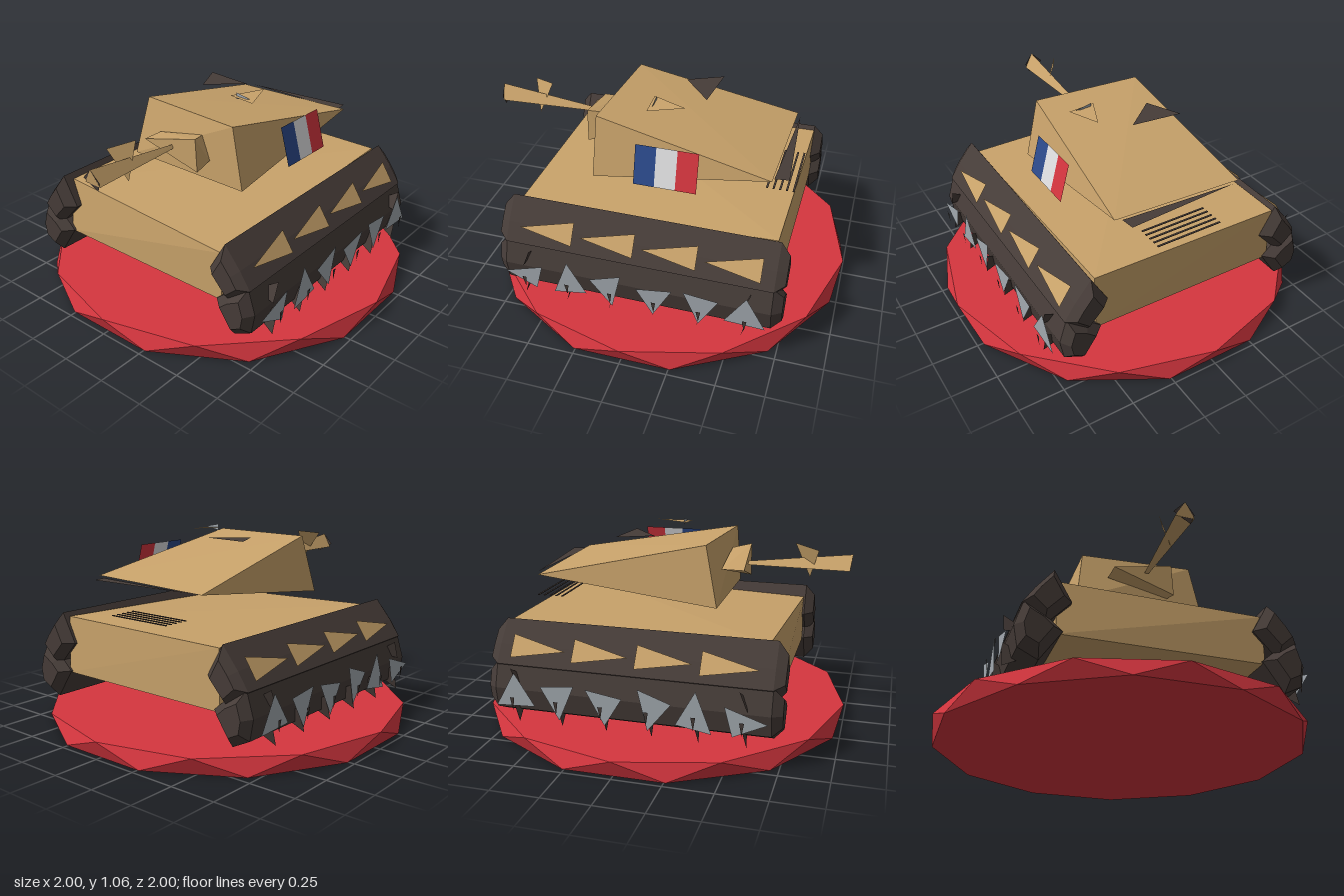
import * as THREE from 'three';
import { ConvexGeometry } from 'three/addons/geometries/ConvexGeometry.js';

const mat = (name, color) => {
  const m = new THREE.MeshStandardMaterial({ color, side: THREE.DoubleSide });
  m.name = name;
  return m;
};

export function createModel() {
  const tan = mat('sandPaint', 0xc8a26a);
  const red = mat('red', 0xd6363f);
  const dark = mat('darkTrack', 0x463c38);
  const grey = mat('wheelGrey', 0xa2a9af);
  const blue = mat('blue', 0x2c4a8c);
  const white = mat('white', 0xe0e0e2);

  const model = new THREE.Group();
  model.name = 'tank';
  const add = (name, geometry, material, parent = model) => {
    const mesh = new THREE.Mesh(geometry, material);
    mesh.name = name;
    parent.add(mesh);
    return mesh;
  };
  // faceted solid around a few corners
  const solid = (name, points, material, parent) =>
    add(name, new ConvexGeometry(points.map(p => new THREE.Vector3(...p))), material, parent);
  // flat plate of three or four corners
  const plate = (name, corners, material, parent) => {
    const g = new THREE.BufferGeometry();
    const list = corners.length === 4 ? [0, 1, 2, 0, 2, 3] : [0, 1, 2];
    g.setAttribute('position', new THREE.Float32BufferAttribute(list.flatMap(i => corners[i]), 3));
    g.computeVertexNormals();
    return add(name, g, material, parent);
  };

  // round base: two rings turned against each other
  const ring = [];
  for (let i = 0; i < 24; i++) {
    const a = i * Math.PI / 12;
    ring.push([Math.cos(a), i % 2 ? 0 : 0.09, Math.sin(a)]);
  }
  solid('base', ring, red);

  // hull
  solid('hull', [
    [-0.54, 0.59, -0.71], [0.53, 0.59, -0.69], [0.53, 0.545, 0.70], [-0.54, 0.58, 0.66],
    [-0.54, 0.28, -0.71], [0.53, 0.28, -0.70], [0.53, 0.28, 0.70], [-0.54, 0.28, 0.70],
  ], tan);

  // wedge turret
  solid('turret', [
    [-0.31, 1.0, 0.285], [0.30, 1.0, 0.33], [-0.355, 0.685, 0.355], [0.37, 0.67, 0.34],
    [-0.36, 0.80, -0.625], [0.37, 0.82, -0.61],
  ], tan);
  solid('mantlet', [
    [-0.18, 0.85, 0.46], [0.15, 0.93, 0.44], [0.16, 0.75, 0.44],
    [-0.18, 0.85, 0.34], [0.11, 0.91, 0.34], [0.16, 0.78, 0.34],
  ], tan);

  // gun
  solid('barrel', [
    [0, 0.86, 0.42], [-0.012, 0.845, 0.46], [0.012, 0.845, 0.46],
    [-0.05, 0.85, 0.99], [0.05, 0.85, 0.99], [0.0, 0.93, 1.0],
  ], tan);
  plate('muzzleFin', [[-0.07, 0.955, 0.83], [0, 0.975, 0.70], [0.02, 0.79, 0.78]], tan);
  plate('muzzle', [[-0.06, 0.87, 0.992], [0.0, 0.93, 1.0], [0.05, 0.87, 0.992], [0.03, 0.82, 0.985]], dark);

  // roof and rear details
  plate('hatch', [[-0.28, 1.01, -0.21], [0, 1.01, -0.18], [-0.19, 1.01, -0.02]], dark);
  plate('periscopeCover', [[0.165, 1.04, -0.11], [0.085, 1.04, 0.08], [0.23, 1.03, 0.08]], tan);
  plate('periscope', [[0.11, 1.057, 0.06], [0.20, 1.04, 0.06], [0.11, 1.022, 0.06]], grey);
  plate('rearRack', [[-0.31, 0.805, -0.645], [0.32, 0.81, -0.69], [0.33, 0.81, -0.615]], dark);
  for (let i = 0; i < 5; i++) {
    const slat = add('engineSlat', new THREE.BoxGeometry(0.38, 0.004, 0.01), dark);
    slat.position.set(-0.01, 0.643, -0.56 - i * 0.035);
  }

  // three-colour side panel, leaning in at the top
  [blue, white, red].forEach((m, i) => {
    const z = 0.08 - i * 0.11;
    plate('sidePanelStripe',
      [[0.47, 0.74, z], [0.47, 0.74, z - 0.11], [0.415, 0.945, z - 0.11], [0.415, 0.945, z]], m);
  });

  // tracks: cross-sections with tapered ends
  const upper = [[0.56, 0.61], [0.65, 0.5], [0.71, 0.41], [0.60, 0.31], [0.47, 0.45]];
  const lower = [[0.59, 0.36], [0.70, 0.42], [0.74, 0.29], [0.72, 0.18], [0.62, 0.13], [0.51, 0.29]];
  const gem = section => {
    const cx = section.reduce((s, p) => s + p[0], 0) / section.length;
    const cy = section.reduce((s, p) => s + p[1], 0) / section.length;
    const pts = [];
    for (const [z, k] of [[-0.76, 0.6], [-0.71, 1], [0.71, 1], [0.76, 0.6]])
      for (const [x, y] of section) pts.push([cx + (x - cx) * k, cy + (y - cy) * k, z]);
    return pts;
  };
  // wheel triangles as [z, y] corners
  const wheels = [
    [[0.70, 0.26], [0.49, 0.33], [0.53, 0.18]],
    [[0.35, 0.39], [0.43, 0.18], [0.25, 0.21]],
    [[0.23, 0.31], [0.06, 0.37], [0.11, 0.16]],
    [[-0.02, 0.31], [-0.21, 0.34], [-0.11, 0.16]],
    [[-0.27, 0.35], [-0.45, 0.33], [-0.35, 0.16]],
    [[-0.59, 0.39], [-0.48, 0.22], [-0.69, 0.21]],
  ];
  for (const s of [1, -1]) {
    const side = new THREE.Group();
    side.name = s > 0 ? 'leftTrack' : 'rightTrack';
    model.add(side);
    const flip = pts => pts.map(([x, y, z]) => [s * x, y, z]);
    solid('upperTrack', flip(gem(upper)), dark, side);
    solid('lowerTrack', flip(gem(lower)), dark, side);
    // sand skirt triangles on the upper slope
    for (let i = 0; i < 4; i++) {
      const z = 0.64 - i * 0.33;
      plate('skirt', flip([[0.672, 0.49, z], [0.632, 0.55, z - 0.29], [0.70, 0.445, z - 0.29]]), tan, side);
    }
    // wheels with hubs and axle fins
    wheels.forEach((w, i) => {
      const z = 0.58 - i * 0.234;
      plate('wheel', flip(w.map(([wz, y]) => [0.77, y, wz])), grey, side);
      plate('hub', flip([[0.80, 0.27, z + 0.012], [0.80, 0.27, z - 0.012], [0.795, 0.20, z]]), dark, side);
      plate('axleFin', flip([[0.64, 0.20, z], [0.765, 0.13, z + 0.02], [0.765, 0.27, z - 0.02]]), dark, side);
      if (i === 0 || i === 5)
        plate('upperFin', flip([[0.64, 0.33, z], [0.765, 0.41, z - 0.02], [0.765, 0.31, z + 0.02]]), dark, side);
    });
  }
  return model;
}
